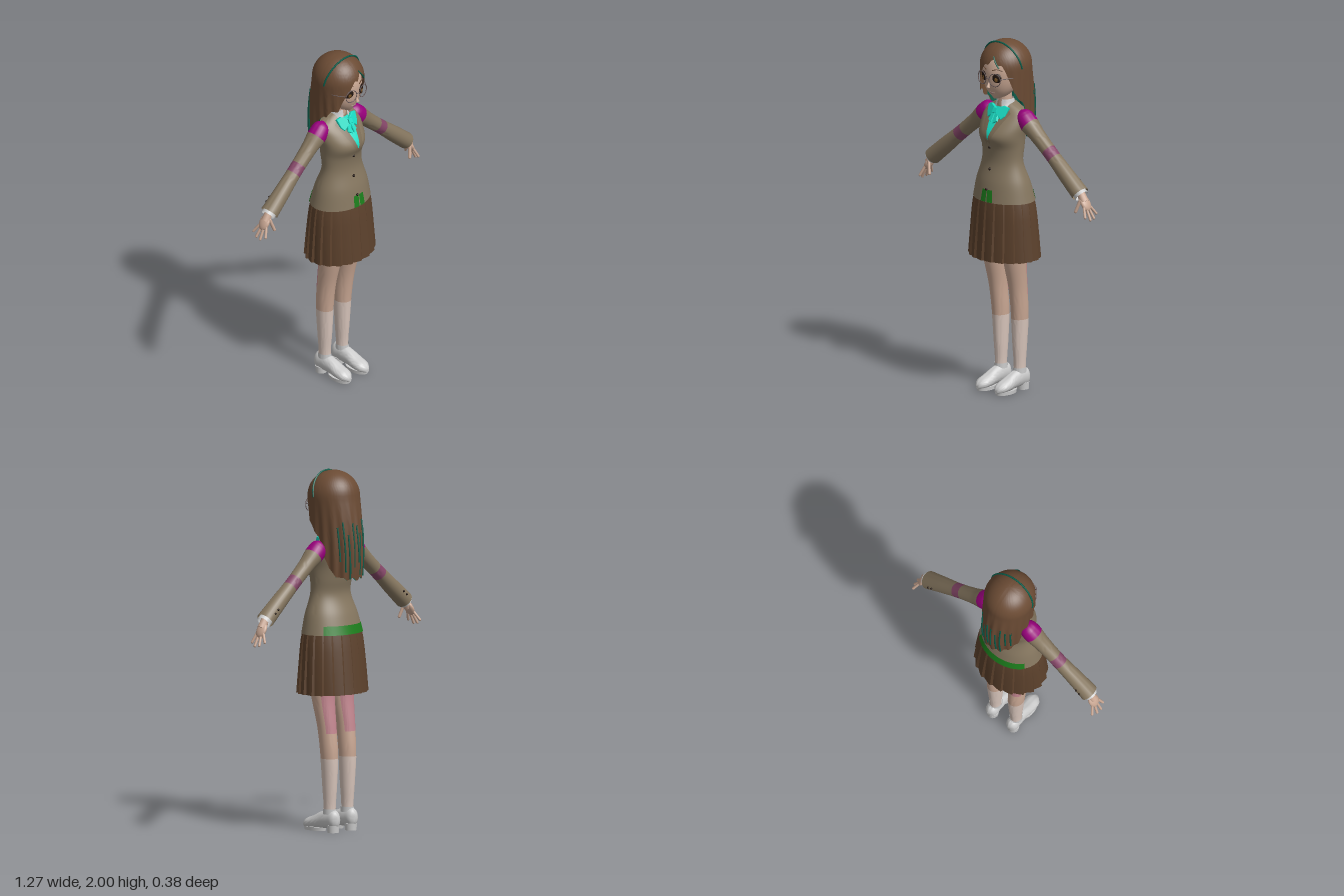
import * as THREE from 'three';
import { toCreasedNormals } from 'three/addons/utils/BufferGeometryUtils.js';

const { PI, sin, cos, abs, max, min, sqrt } = Math;
const mat = (color) => new THREE.MeshStandardMaterial({ color, side: THREE.DoubleSide });
const M = {
  skin: mat(0xc9a793), sock: mat(0xd8c5bb), pink: mat(0xc48790), hair: mat(0x6b4b34), teal: mat(0x0b5f4c),
  jacket: mat(0x85765f), lapel: mat(0x7a6b55), skirt: mat(0x5c412c), magenta: mat(0x98007c), elbow: mat(0x854768),
  green: mat(0x1c7d1c), cyan: mat(0x18dcc4), white: mat(0xcccccc), dark: mat(0x20140e), amber: mat(0x7a5426),
  lip: mat(0xa0807a), rim: mat(0x6a5a5a),
};

function add(parent, name, geometry, material, pos = [0, 0, 0], scale = [1, 1, 1]) {
  const m = new THREE.Mesh(geometry, material);
  m.name = name;
  m.position.set(...pos);
  m.scale.set(...scale);
  parent.add(m);
  return m;
}

// Grid surface from fn(u, v) -> [x, y, z]
function surface(fn, nu, nv, crease = 0.9) {
  const p = [], idx = [];
  for (let j = 0; j <= nv; j++) for (let i = 0; i <= nu; i++) p.push(...fn(i / nu, j / nv));
  for (let j = 0; j < nv; j++) for (let i = 0; i < nu; i++) {
    const a = j * (nu + 1) + i, b = a + nu + 1;
    idx.push(a, a + 1, b, a + 1, b + 1, b);
  }
  const g = new THREE.BufferGeometry();
  g.setAttribute('position', new THREE.Float32BufferAttribute(p, 3));
  g.setIndex(idx);
  return toCreasedNormals(g, crease);
}

// Smooth profile through rings [y, rx, rz, cx, cz]
function profile(rings) {
  const f = new THREE.CubicInterpolant(rings.map((r) => r[0]), rings.flatMap((r) => r.slice(1)), 4);
  const at = (y) => Array.from(f.evaluate(y));
  at.y0 = rings[0][0];
  at.y1 = rings[rings.length - 1][0];
  at.front = (x, y) => {
    const [rx, rz, cx, cz] = at(y);
    return cz + rz * sqrt(max(0, 1 - ((x - cx) / rx) ** 2));
  };
  return at;
}

// Elliptical loft of a profile, or of a band or arc of it; angle 0 faces front
function loft(at, { from = at.y0, to = at.y1, a0 = 0, a1 = 2 * PI, seg = 32, rows = 20, grow = 0, mod = () => 1, cap = false, crease } = {}) {
  const extra = cap ? 1 : 0, n = rows + 2 * extra;
  return surface((u, v) => {
    const j = Math.round(v * n) - extra, y = from + (to - from) * min(1, max(0, j / rows));
    const [rx, rz, cx, cz] = at(y), a = a0 + (a1 - a0) * u;
    const k = j < 0 || j > rows ? 0 : mod(a, y);
    return [cx + (rx + grow) * k * sin(a), y, cz + (rz + grow) * k * cos(a)];
  }, seg, n, crease);
}

const torso = profile([[1.1, .19, .146, 0, .014], [1.2, .168, .124, 0, .02], [1.32, .13, .09, 0, .026], [1.4, .13, .1, 0, .022],
  [1.47, .137, .119, 0, .028], [1.54, .148, .104, 0, .006], [1.595, .14, .075, 0, -.01], [1.63, .088, .056, 0, -.012], [1.65, .045, .045, 0, -.008]]);
const head = profile([[1.678, .012, .012, 0, .078], [1.69, .04, .04, 0, .058], [1.715, .07, .066, 0, .048], [1.75, .093, .095, 0, .034],
  [1.8, .109, .117, 0, .02], [1.86, .115, .125, 0, .01], [1.92, .1, .108, 0, 0], [1.965, .05, .05, 0, 0]]);
const leg = profile([[.08, .03, .036, .07, -.035], [.14, .03, .035, .07, -.036], [.25, .036, .043, .07, -.036], [.45, .046, .053, .072, -.033],
  [.58, .048, .056, .074, -.018], [.77, .064, .068, .076, .012], [1.04, .085, .09, .085, .01]]);
const sleeve = profile([[-.549, .047, .052, 0, -.006], [-.42, .045, .046, 0, -.006], [-.27, .04, .041, 0, -.008],
  [-.12, .044, .046, 0, -.008], [-.03, .054, .054, 0, -.008], [.02, .045, .042, 0, -.008], [.045, .015, .015, 0, -.008]]);
const shoe = profile([[-.102, .01, .025, 0, -.07], [-.09, .028, .044, 0, -.07], [-.04, .036, .052, 0, -.073], [.02, .038, .047, 0, -.064],
  [.08, .043, .036, 0, -.047], [.13, .036, .027, 0, -.036], [.155, .012, .014, 0, -.028]]);
const skirt = profile([[.77, .207, .168, 0, .011], [.95, .198, .155, 0, .012], [1.07, .189, .144, 0, .014], [1.125, .178, .135, 0, .015]]);

// Strip laid on the chest between two lines [x0, y0, x1, y1], bottom to top
const chestPatch = (l, r, off) => surface((u, v) => {
  const mix = (i) => (l[i] * (1 - v) + l[i + 2] * v) * (1 - u) + (r[i] * (1 - v) + r[i + 2] * v) * u;
  const x = mix(0), y = mix(1);
  return [x, y, torso.front(x, y) + off];
}, 6, 10);

// Hair: a cap on the skull running down into a long curtain at the back
const hairline = [[0, 1.9], [.4, 1.87], [.75, 1.8], [1, 1.71], [1.3, 1.68], [1.65, 1.62], [2, 1.45], [2.4, 1.405], [4, 1.395]];
function hairBottom(a) {
  const b = abs(a - .25 * max(0, cos(a)));
  const i = hairline.findIndex((h) => h[0] > b), [p, q] = [hairline[i - 1], hairline[i]];
  return p[1] + (q[1] - p[1]) * (b - p[0]) / (q[0] - p[0]) + .018 * abs(sin(a * 7));
}
function hairPoint(a, y, k = 1) {
  const d = max(0, 1.86 - y), c = cos(a);
  const r = k * (y > 1.86 ? sqrt(max(0, 1 - ((y - 1.86) / .14) ** 2)) : 1) * (1 + .035 * min(1, d / .25) * sin(a * 18));
  return [.14 * r * sin(a) * (1 - .25 * d), y, .148 * r * c - max(0, -c) * .035 * sin(PI * min(1, d / .62))];
}
const hairSheet = (a0, a1, top, k) => surface((u, v) => {
  const a = a0 + (a1 - a0) * u, b = hairBottom(a > PI ? a - 2 * PI : a);
  return hairPoint(a, b + (top - b) * sin(v * PI / 2), k);
}, 120, 28);
const tube = (pts, r) => new THREE.TubeGeometry(new THREE.CatmullRomCurve3(pts.map((p) => new THREE.Vector3(...p))), 12, r, 6);
const strand = (a, y0, a1, y1, r) => tube([0, .33, .67, 1].map((t) => hairPoint(a + (a1 - a) * t, y0 + (y1 - y0) * t, 1.005)), r);

function buildHead() {
  const g = new THREE.Group();
  g.name = 'head';
  const ball = new THREE.SphereGeometry(1, 20, 14);
  add(g, 'face', loft(head, { cap: true }), M.skin);
  add(g, 'nose', new THREE.ConeGeometry(.011, .04, 8), M.skin, [0, 1.772, .139]).rotation.x = -.3;
  add(g, 'mouth', ball, M.lip, [0, 1.718, .114], [.02, .006, .005]);
  add(g, 'neck', new THREE.CylinderGeometry(.036, .042, .14, 20), M.skin, [0, 1.65, .005]);
  add(g, 'hair', hairSheet(-PI, PI, 2, 1), M.hair);
  add(g, 'innerHair', hairSheet(1.45, 2 * PI - 1.45, 1.8, .95), M.teal);
  for (const s of [-1, 1]) {
    const z = head.front(.047, 1.81);
    add(g, 'eye', ball, M.dark, [s * .047, 1.81, z - .002], [.027, .027, .009]).rotation.y = s * .38;
    add(g, 'iris', ball, M.amber, [s * .047, 1.803, z + .004], [.012, .014, .005]).rotation.y = s * .38;
    add(g, 'eyebrow', tube([[.022, 1.852, .137], [.05, 1.861, .127], [.075, 1.852, .11]].map(([x, y, q]) => [s * x, y, q]), .0025), M.hair);
    add(g, 'glassesRim', new THREE.TorusGeometry(.036, .0025, 6, 28), M.rim, [s * .047, 1.802, z + .016]).rotation.y = s * .2;
    add(g, 'glassesTemple', tube([[s * .083, 1.81, .132], [s * .118, 1.815, .08], [s * .125, 1.815, 0]], .0025), M.rim);
  }
  add(g, 'glassesBridge', tube([[-.012, 1.806, .148], [0, 1.81, .153], [.012, 1.806, .148]], .0025), M.rim);
  const band = add(g, 'headband', new THREE.TorusGeometry(.139, .005, 6, 40, PI), M.teal, [0, 1.86, .02]);
  band.rotation.x = .25;
  add(g, 'bangStreak', strand(.2, 1.93, .5, 1.87, .004), M.teal);
  for (let i = 0; i < 9; i++) {
    const a = PI + (i - 4) * .2;
    add(g, 'hairStreak', strand(a, 1.7 + .04 * sin(i * 2.3), a + .06, 1.46 + .05 * cos(i * 1.7), .005), M.teal);
  }
  return g;
}

function buildJacket() {
  const g = new THREE.Group();
  g.name = 'jacket';
  add(g, 'jacketBody', loft(torso, { seg: 48, rows: 36 }), M.jacket);
  add(g, 'shirtFront', chestPatch([-.002, 1.45, -.05, 1.625], [.002, 1.45, .05, 1.625], .004), M.cyan);
  for (const s of [-1, 1]) {
    add(g, 'lapel', chestPatch([0, 1.445, s * .048, 1.63], [s * .012, 1.43, s * .085, 1.6], .008), M.lapel);
    add(g, 'frontHemPatch', chestPatch([s * .004, 1.102, s * .002, 1.17], [s * .042, 1.102, s * .035, 1.17], .004), M.green);
  }
  for (const y of [1.405, 1.28, 1.17]) add(g, 'button', new THREE.SphereGeometry(.008, 10, 8), M.dark, [-.008, y, torso.front(0, y)]);
  add(g, 'backHemPatch', loft(torso, { to: 1.15, a0: PI - .95, a1: PI + .95, grow: .002, rows: 4 }), M.green);
  add(g, 'collar', loft(profile([[1.61, .068, .066, 0, 0], [1.64, .054, .054, 0, .002], [1.668, .046, .046, 0, .004]]), { a0: .3, a1: 2 * PI - .3 }), M.white);

  // Bow: two flared wings, two tails and a knot
  const bow = new THREE.Group();
  bow.name = 'bow';
  const flat = (pts) => new THREE.ExtrudeGeometry(new THREE.Shape(pts.map((p) => new THREE.Vector2(...p))),
    { depth: .012, bevelEnabled: true, bevelSize: .003, bevelThickness: .004, bevelSegments: 1 });
  const wing = flat([[0, -.012], [.045, -.04], [.06, -.02], [.07, .03], [.045, .035], [0, .012]]);
  const tail = flat([[0, 0], [.008, -.07], [.03, -.055], [.014, 0]]);
  for (const s of [-1, 1]) {
    add(bow, 'bowWing', wing, M.cyan, [0, 0, 0], [s, 1, 1]).rotation.y = s * .25;
    add(bow, 'bowTail', tail, M.cyan, [0, 0, -.004], [s, 1, 1]);
  }
  add(bow, 'bowKnot', new THREE.BoxGeometry(.026, .028, .026), M.cyan, [0, 0, .008]);
  bow.position.set(0, 1.605, .075);
  bow.rotation.x = -.45;
  g.add(bow);
  return g;
}

function buildArm() {
  const g = new THREE.Group();
  g.name = 'arm';
  const bands = [[-.549, -.295, M.jacket], [-.295, -.235, M.elbow], [-.235, -.055, M.jacket], [-.055, .045, M.magenta]];
  for (const [from, to, m] of bands) add(g, 'sleeve', loft(sleeve, { from, to, seg: 24, rows: 10 }), m);
  add(g, 'shirtCuff', new THREE.CylinderGeometry(.038, .04, .04, 20, 1, true), M.white, [0, -.545, -.006]);
  for (let i = 0; i < 2; i++) add(g, 'cuffButton', new THREE.SphereGeometry(.006, 8, 6), M.dark, [.01, -.5 + i * .03, -.057]);

  const hand = new THREE.Group();
  hand.name = 'hand';
  add(hand, 'wrist', new THREE.CylinderGeometry(.02, .026, .08, 14), M.skin, [0, 0, 0]);
  add(hand, 'palm', new THREE.SphereGeometry(1, 16, 12), M.skin, [0, -.05, -.004], [.017, .045, .034]);
  const finger = (p, q, r) => {
    const a = new THREE.Vector3(...p), d = new THREE.Vector3(...q).sub(a);
    const m = add(hand, 'finger', new THREE.CapsuleGeometry(r, d.length(), 4, 10), M.skin, a.clone().addScaledVector(d, .5).toArray());
    m.quaternion.setFromUnitVectors(new THREE.Vector3(0, 1, 0), d.normalize());
  };
  [.125, .145, .14, .118].forEach((len, i) => finger([0, -.07, .02 - i * .016], [-.006, -len, .036 - i * .031], .0075));
  finger([-.006, -.025, .02], [-.055, -.07, .036], .009);
  hand.position.set(0, -.56, -.008);
  hand.rotation.z = -.33;
  g.add(hand);
  g.position.set(.13, 1.575, 0);
  g.rotation.z = .871;
  return g;
}

function buildLeg() {
  const g = new THREE.Group();
  g.name = 'leg';
  add(g, 'thigh', loft(leg, { from: .4 }), M.skin);
  add(g, 'sock', loft(leg, { to: .41, grow: .001 }), M.sock);
  add(g, 'kneeBackPatch', loft(leg, { from: .55, to: .76, a0: PI - 1, a1: PI + 1, grow: .0015 }), M.pink);
  add(g, 'shoe', loft(shoe, { cap: true }), M.white, [.07, 0, 0]).rotation.x = PI / 2;
  add(g, 'shoeHeel', new THREE.CylinderGeometry(.035, .032, .04, 20), M.white, [.07, .02, -.062]);
  add(g, 'shoeSole', new THREE.CylinderGeometry(1, .95, .02, 24), M.white, [.07, .012, .075], [.042, 1, .076]);
  add(g, 'shoeStrap', loft(leg, { from: .1, to: .13, grow: .005, rows: 2 }), M.white);
  return g;
}

export function createModel() {
  const model = new THREE.Group();
  model.name = 'student';
  model.add(buildHead(), buildJacket());

  // Skirt with overlapping saw-tooth pleats that deepen toward the hem
  const pleats = 20;
  const pleat = (a, y) => {
    const f = (a / (2 * PI) * pleats + 1e-6) % 1;
    return 1 + (.02 + .04 * (1.125 - y) / .355) * min(f / .83, (1 - f) / .17);
  };
  add(model, 'skirt', loft(skirt, { seg: pleats * 6, rows: 6, mod: pleat, crease: .3 }), M.skirt);

  for (const s of [1, -1]) {
    const side = new THREE.Group();
    side.name = s > 0 ? 'leftLimbs' : 'rightLimbs';
    side.add(buildArm(), buildLeg());
    side.scale.x = s;
    model.add(side);
  }
  return model;
}
